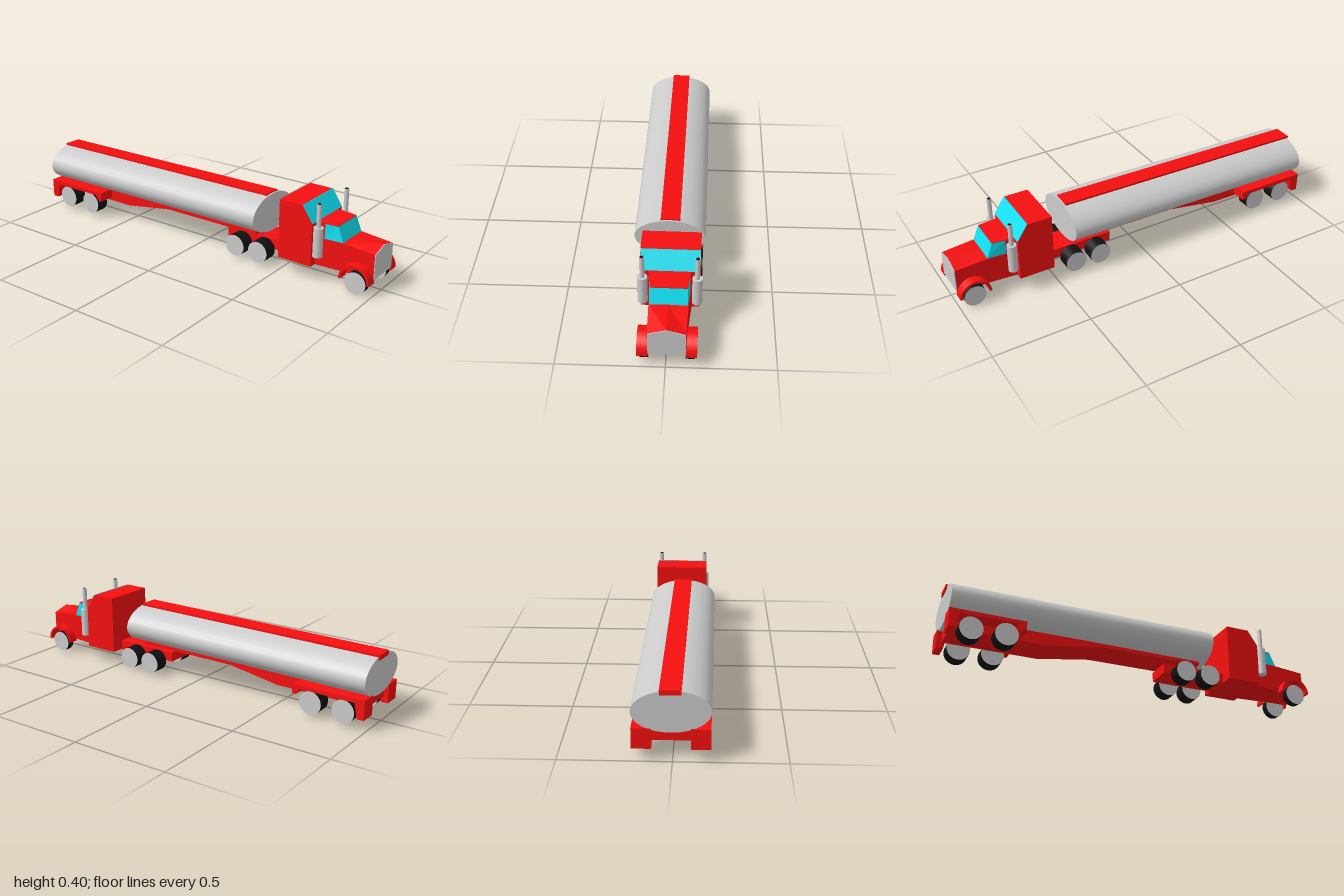
import * as THREE from 'three';

const mat = (color, extra = {}) => new THREE.MeshStandardMaterial({ color, ...extra });
const red = mat(0xf50f0f, { flatShading: true });
const cyan = mat(0x10def0, { flatShading: true });
const grey = mat(0xcccccc);
const black = mat(0x111111);

function add(parent, name, geometry, material, x = 0, y = 0, z = 0) {
  const mesh = new THREE.Mesh(geometry, material);
  mesh.name = name;
  mesh.position.set(x, y, z);
  parent.add(mesh);
  return mesh;
}

// Box given by its limits on each axis
function block(parent, name, material, [x0, x1], [y0, y1], [z0, z1]) {
  return add(parent, name, new THREE.BoxGeometry(x1 - x0, y1 - y0, z1 - z0), material,
    (x0 + x1) / 2, (y0 + y1) / 2, (z0 + z1) / 2);
}

// Side profile in (z, y), extruded across x
function prism(parent, name, material, profile, x0, x1) {
  const shape = profile instanceof THREE.Shape
    ? profile : new THREE.Shape(profile.map(([z, y]) => new THREE.Vector2(z, y)));
  const geo = new THREE.ExtrudeGeometry(shape, { depth: x1 - x0, bevelEnabled: false, curveSegments: 16 });
  geo.rotateY(-Math.PI / 2).translate(x1, 0, 0);
  return add(parent, name, geo, material);
}

// Solid between two rings of [x, y, z], each counter-clockwise seen from the front
function loft(parent, name, material, front, back) {
  const n = front.length, pos = [];
  const tri = (a, b, c) => pos.push(...a, ...b, ...c);
  for (let i = 0; i < n; i++) {
    const j = (i + 1) % n;
    tri(front[i], back[i], back[j]);
    tri(front[i], back[j], front[j]);
    if (i > 0 && i < n - 1) {
      tri(front[0], front[i], front[i + 1]);
      tri(back[0], back[i + 1], back[i]);
    }
  }
  const geo = new THREE.BufferGeometry();
  geo.setAttribute('position', new THREE.Float32BufferAttribute(pos, 3));
  geo.computeVertexNormals();
  return add(parent, name, geo, material);
}

// Black tread with grey faces
function wheel(parent, name, radius, width, x, y, z) {
  const geo = new THREE.CylinderGeometry(radius, radius, width, 28).rotateZ(Math.PI / 2);
  add(parent, name, geo, [black, grey, grey], x, y, z);
}

const hoodRing = (w, edge, peak, z) =>
  [[-w, 0.077, z], [w, 0.077, z], [w, edge, z], [0, peak, z], [-w, edge, z]];
const cabRing = (wb, zb, wt, zt) =>
  [[-wb, 0.219, zb], [wb, 0.219, zb], [wt, 0.294, zt], [-wt, 0.294, zt]];

function buildTractor() {
  const g = new THREE.Group();
  g.name = 'tractor';

  // Hood, lower cab and grille
  loft(g, 'hood', red, hoodRing(0.086, 0.206, 0.231, 0.994), hoodRing(0.09, 0.219, 0.221, 0.83));
  loft(g, 'lowerCab', red, hoodRing(0.09, 0.219, 0.221, 0.83), hoodRing(0.1, 0.219, 0.221, 0.69));
  loft(g, 'grille', mat(0xcccccc, { flatShading: true }),
    hoodRing(0.085, 0.205, 0.23, 0.998).map(([x, y, z]) => [x, Math.max(y, 0.081), z]),
    hoodRing(0.085, 0.205, 0.23, 0.99).map(([x, y, z]) => [x, Math.max(y, 0.081), z]));

  // Glazed cab front, solid pillar and roof
  loft(g, 'cabWindows', cyan, cabRing(0.088, 0.83, 0.085, 0.8), cabRing(0.095, 0.735, 0.094, 0.735));
  loft(g, 'cabPillar', red, cabRing(0.095, 0.735, 0.094, 0.735), cabRing(0.1, 0.69, 0.098, 0.69));
  const roof = (w, z) => [[-w, 0.293, z], [w, 0.293, z], [w, 0.297, z], [-w, 0.297, z]];
  loft(g, 'cabRoof', red, roof(0.085, 0.8), roof(0.098, 0.69));

  // Sleeper with sloped glass
  prism(g, 'sleeper', red,
    [[0.508, 0.077], [0.69, 0.077], [0.69, 0.296], [0.635, 0.378], [0.508, 0.378]], -0.138, 0.138);
  prism(g, 'sleeperGlass', cyan,
    [[0.688, 0.296], [0.692, 0.296], [0.637, 0.379], [0.633, 0.378]], -0.1375, 0.1375);

  // Rear chassis and coupling
  block(g, 'chassis', red, [-0.07, 0.07], [0.075, 0.126], [0.16, 0.51]);
  block(g, 'coupling', red, [-0.05, 0.05], [0.12, 0.152], [0.295, 0.36]);

  // Arched front fender profile
  const arch = new THREE.Shape();
  arch.absarc(0.918, 0.064, 0.08, 0, Math.PI, false);
  arch.absarc(0.918, 0.064, 0.068, Math.PI, 0, true);

  for (const s of [-1, 1]) {
    const side = s > 0 ? 'left' : 'right';
    prism(g, side + 'FrontFender', red, arch, s > 0 ? 0.084 : -0.135, s > 0 ? 0.135 : -0.084);
    wheel(g, side + 'FrontWheel', 0.055, 0.04, s * 0.104, 0.055, 0.921);
    for (const z of [0.39, 0.253]) wheel(g, side + 'DriveWheel', 0.055, 0.073, s * 0.108, 0.07, z);

    // Exhaust stack with open tip
    const x = s * 0.126, z = 0.718;
    add(g, side + 'Muffler', new THREE.CylinderGeometry(0.024, 0.024, 0.148, 20), grey, x, 0.209, z);
    add(g, side + 'ExhaustPipe', new THREE.CylinderGeometry(0.0115, 0.0115, 0.118, 16), grey, x, 0.341, z);
    add(g, side + 'ExhaustTip', new THREE.CylinderGeometry(0.009, 0.009, 0.002, 16), black, x, 0.4, z);
  }
  g.position.x = 0.017;
  g.rotation.y = -0.011;
  return g;
}

function buildTrailer() {
  const g = new THREE.Group();
  g.name = 'trailer';

  // Oval tank and raised walkway
  const tank = new THREE.CylinderGeometry(1, 1, 1.385, 32).rotateX(Math.PI / 2).scale(0.173, 0.098, 1);
  const body = new THREE.Group();
  body.name = 'tankBody';
  body.position.y = 0.242;
  body.rotation.z = -0.02;
  add(body, 'tank', tank, grey, 0, 0, -0.299);
  block(body, 'walkway', red, [-0.047, 0.047], [0.08, 0.104], [-0.998, 0.385]);
  g.add(body);

  // Frame deepening towards the rear axles
  prism(g, 'trailerFrame', red,
    [[0.35, 0.136], [0.35, 0.152], [-0.97, 0.165], [-0.97, 0.096], [-0.49, 0.094], [-0.21, 0.137]], -0.085, 0.085);

  // Fender band with a short front leg and a rear flap
  const fender = [[-0.62, 0.112], [-0.62, 0.16], [-0.995, 0.163], [-0.995, 0.066],
    [-0.96, 0.066], [-0.945, 0.142], [-0.66, 0.142], [-0.64, 0.112]];
  for (const s of [-1, 1]) {
    const side = s > 0 ? 'left' : 'right';
    prism(g, side + 'TrailerFender', red, fender, s > 0 ? 0.085 : -0.171, s > 0 ? 0.171 : -0.085);
    for (const z of [-0.713, -0.884]) wheel(g, side + 'TrailerWheel', 0.058, 0.07, s * 0.126, 0.081, z);
  }
  g.position.x = -0.001;
  g.rotation.set(-0.008, -0.007, 0);
  return g;
}

export function createModel() {
  const model = new THREE.Group();
  model.name = 'tankerTruck';
  model.add(buildTractor(), buildTrailer());
  return model;
}
